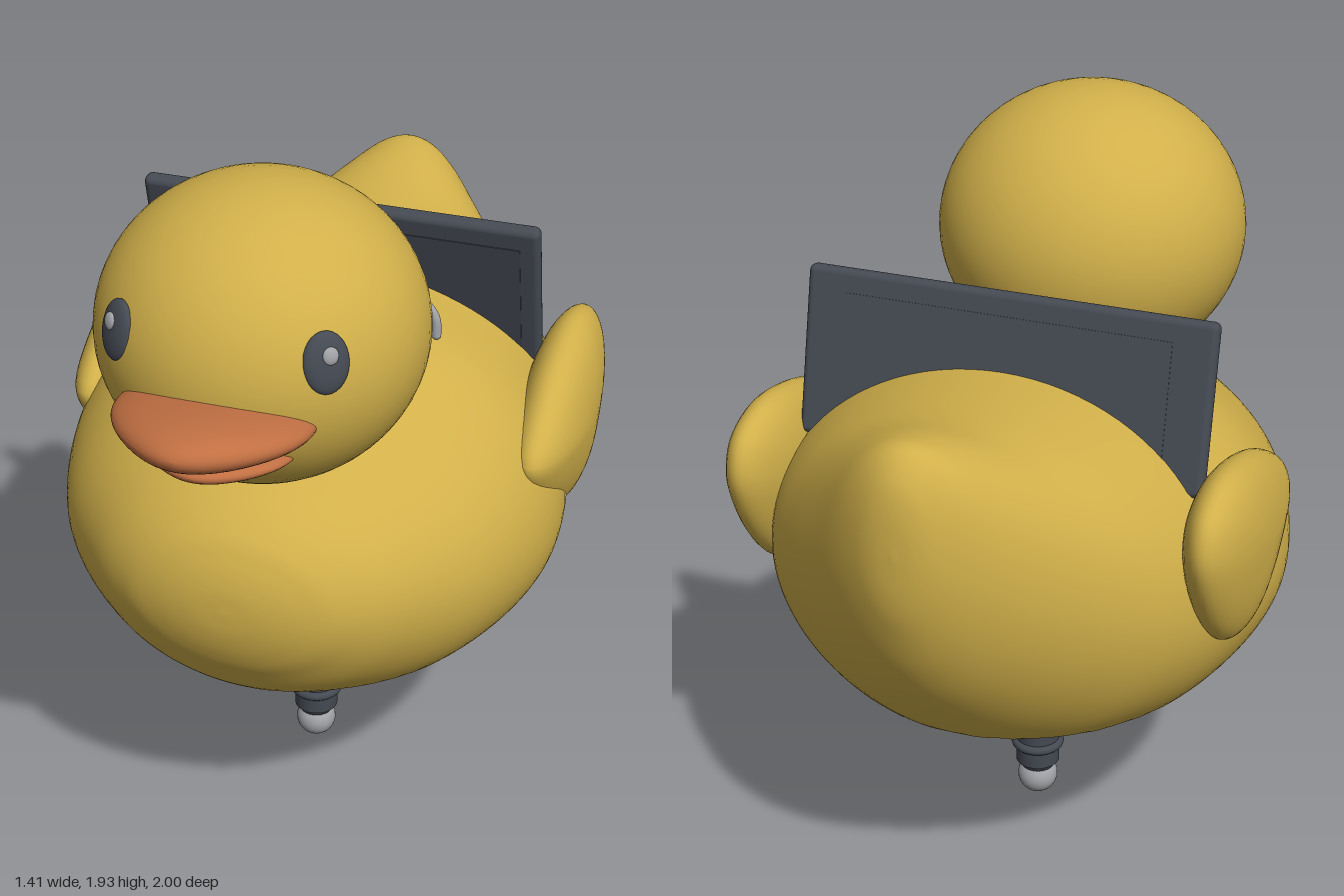
import * as THREE from 'three';
import { RoundedBoxGeometry } from 'three/addons/geometries/RoundedBoxGeometry.js';

const mat = (name, color) => {
  const m = new THREE.MeshStandardMaterial({ color });
  m.name = name;
  return m;
};

// Closed skin from rings of points, capped by a single point at each end
function skin(first, rings, last) {
  const n = rings[0].length, pos = [...first], idx = [];
  rings.forEach(r => r.forEach(p => pos.push(...p)));
  pos.push(...last);
  const at = (i, j) => 1 + i * n + (j % n), end = 1 + rings.length * n;
  for (let j = 0; j < n; j++) {
    idx.push(0, at(0, j), at(0, j + 1));
    for (let i = 0; i < rings.length - 1; i++) {
      idx.push(at(i, j), at(i + 1, j), at(i + 1, j + 1), at(i, j), at(i + 1, j + 1), at(i, j + 1));
    }
    idx.push(at(rings.length - 1, j), end, at(rings.length - 1, j + 1));
  }
  const g = new THREE.BufferGeometry();
  g.setAttribute('position', new THREE.Float32BufferAttribute(pos, 3));
  g.setIndex(idx);
  g.computeVertexNormals();
  return g;
}

// Body: elliptical sections from breast to tail, trimmed by a shallow dish underneath
function bodyGeometry() {
  // z, top, bottom, half width, height of the widest point
  const stations = [
    [0.69, 0.9, 0.9, 0, 0.9], [0.684, 0.97, 0.83, 0.1, 0.9], [0.662, 1.04, 0.755, 0.2, 0.895],
    [0.62, 1.105, 0.68, 0.295, 0.89], [0.52, 1.18, 0.56, 0.415, 0.88], [0.3, 1.28, 0.44, 0.58, 0.86],
    [0, 1.4, 0.39, 0.67, 0.85], [-0.3, 1.41, 0.4, 0.635, 0.87], [-0.52, 1.425, 0.47, 0.55, 0.92],
    [-0.67, 1.447, 0.575, 0.435, 0.99], [-0.82, 1.488, 0.745, 0.288, 1.09], [-0.91, 1.495, 0.89, 0.19, 1.17],
    [-0.965, 1.44, 1.03, 0.11, 1.22], [-0.988, 1.36, 1.13, 0.055, 1.24], [-0.995, 1.25, 1.25, 0, 1.25]];
  const curve = f => new THREE.CatmullRomCurve3(stations.map(f), false, 'catmullrom');
  const profile = curve(s => new THREE.Vector3(s[0], s[1], s[2]));
  const girth = curve(s => new THREE.Vector3(s[3], s[4], 0));
  const rings = [], count = 96, sides = 96;
  for (let i = 1; i < count; i++) {
    const { x: z, y: top, z: bottom } = profile.getPoint(i / count), { x: w, y: mid } = girth.getPoint(i / count);
    const ring = [];
    for (let j = 0; j < sides; j++) {
      const a = j / sides * Math.PI * 2, s = Math.sin(a), x = w * Math.cos(a);
      const y = mid + s * (s > 0 ? top - mid : mid - bottom);
      const dish = 0.505 + 0.06 * ((x / 0.53) ** 2 + ((z + 0.07) / 0.585) ** 2);
      const floor = z < -0.7 || z > 0.56 ? bottom : Math.min(dish, mid);
      ring.push([x, Math.max(y, floor), z]);
    }
    rings.push(ring);
  }
  return skin([0, 0.9, 0.69], rings, [0, 1.25, -0.995]);
}

// Wing: a leaf outline swelling into a lens
function wingGeometry() {
  const outline = new THREE.CatmullRomCurve3([
    [0.08, 1.08], [-0.08, 1.2], [-0.28, 1.27], [-0.43, 1.28], [-0.55, 1.23], [-0.585, 1.14], [-0.55, 1.02],
    [-0.45, 0.87], [-0.36, 0.8], [-0.25, 0.79], [-0.1, 0.86], [0.04, 0.99]
  ].map(([z, y]) => new THREE.Vector3(0, y - 1.05, z + 0.27)), true);
  const edge = outline.getPoints(64).slice(0, 64), rings = [];
  for (let i = 1; i < 24; i++) {
    const a = -Math.PI / 2 + Math.PI * i / 24;
    rings.push(edge.map(p => [0.1 * Math.sin(a), p.y * Math.cos(a), p.z * Math.cos(a)]));
  }
  return skin([-0.1, 0, 0], rings, [0.1, 0, 0]);
}

// Beak half: an ellipsoid narrowed from above and blunted from the side toward the tip
function beakGeometry(rx, ry, rz) {
  const g = new THREE.SphereGeometry(1, 48, 32).rotateX(Math.PI / 2), p = g.attributes.position;
  for (let i = 0; i < p.count; i++) {
    const z = p.getZ(i), f = Math.max(z, 0) ** 2;
    p.setXYZ(i, p.getX(i) * rx * (1 - 0.25 * f), p.getY(i) * ry * (1 + 0.4 * f), z * rz);
  }
  g.computeVertexNormals();
  return g;
}

export function createModel() {
  const model = new THREE.Group();
  model.name = 'duckOnStand';
  const yellow = mat('yellow', 0xd1b04a), orange = mat('orange', 0xc06f42);
  const dark = mat('darkGrey', 0x454a53), screen = mat('screenGrey', 0x41454e), silver = mat('lightGrey', 0xa2a4a8);

  const add = (name, geometry, material, x = 0, y = 0, z = 0, parent = model) => {
    const m = new THREE.Mesh(geometry, material);
    m.name = name;
    m.position.set(x, y, z);
    parent.add(m);
    return m;
  };
  const ball = (rx, ry, rz, seg = 48) => new THREE.SphereGeometry(1, seg, seg / 2).scale(rx, ry, rz);
  const box = (w, h, d, r) => new RoundedBoxGeometry(w, h, d, 3, r);

  // Duck
  add('body', bodyGeometry(), yellow);
  add('head', ball(0.41, 0.38, 0.41, 64), yellow, 0, 1.553, 0.375);
  add('upperBeak', beakGeometry(0.242, 0.062, 0.285), orange, 0, 1.487, 0.718).rotation.x = -0.13;
  add('lowerBeak', beakGeometry(0.185, 0.034, 0.2), orange, 0, 1.392, 0.685).rotation.x = -0.1;

  for (const side of [1, -1]) {
    const label = side > 0 ? 'left' : 'right';
    add(label + 'Wing', wingGeometry(), yellow, side * 0.607, 1.05, -0.27);

    // Eye lying on the head, with a small glint
    const eye = new THREE.Group();
    eye.name = label + 'Eye';
    eye.position.set(side * 0.255, 1.648, 0.672);
    eye.lookAt(side * 0.255 * 2.1, 1.75, 1.02);
    model.add(eye);
    add(label + 'Pupil', ball(0.057, 0.076, 0.022, 32), dark, 0, 0, 0, eye);
    add(label + 'Glint', ball(0.02, 0.022, 0.009, 16), silver, side * 0.006, 0.02, 0.02, eye);

    // Curved handle and its dark knob
    const arc = new THREE.CatmullRomCurve3([
      [0.15, 1.445], [0.22, 1.458], [0.28, 1.442], [0.315, 1.4], [0.32, 1.35]
    ].map(([x, y]) => new THREE.Vector3(side * x, y, -0.055)));
    add(label + 'Handle', new THREE.TubeGeometry(arc, 24, 0.013, 10), silver);
    add(label + 'HandleTip', ball(0.013, 0.013, 0.013, 12), silver, side * 0.32, 1.35, -0.055);
    add(label + 'Knob', ball(0.045, 0.045, 0.048, 24), dark, side * 0.205, 1.412, -0.055);
  }

  // Clasp between head and panel
  add('claspBlock', box(0.36, 0.075, 0.1, 0.015), silver, 0, 1.443, -0.05);
  add('claspBack', box(0.24, 0.055, 0.08, 0.02), dark, 0, 1.425, -0.11);

  // Leaning panel with a plate on each face
  const panel = new THREE.Group();
  panel.name = 'panel';
  panel.position.set(0, 1.385, -0.283);
  panel.rotation.x = 0.235;
  model.add(panel);
  add('panelFrame', box(1.08, 0.44, 0.045, 0.018), dark, 0, 0, 0, panel);
  add('panelFront', new THREE.BoxGeometry(0.98, 0.34, 0.006), screen, 0, -0.01, 0.022, panel);
  add('panelBack', new THREE.BoxGeometry(0.86, 0.34, 0.004), dark, 0, -0.01, -0.022, panel);

  // Stand below
  add('standBase', box(0.5, 0.16, 0.1, 0.042), dark, 0, 0.48, -0.05);
  const post = [[0, 0.07], [0.045, 0.07], [0.045, 0.105], [0.06, 0.105], [0.06, 0.385], [0.05, 0.415], [0, 0.43]];
  const postShape = new THREE.LatheGeometry(post.map(p => new THREE.Vector2(...p)), 40);
  add('standPost', postShape, dark, 0, 0, -0.05);
  for (const y of [0.165, 0.34]) {
    add('postRing', new THREE.TorusGeometry(0.06, 0.013, 12, 40).rotateX(Math.PI / 2), dark, 0, y, -0.05);
  }
  add('standBall', ball(0.055, 0.055, 0.055, 32), silver, 0, 0.055, -0.05);

  return model;
}
